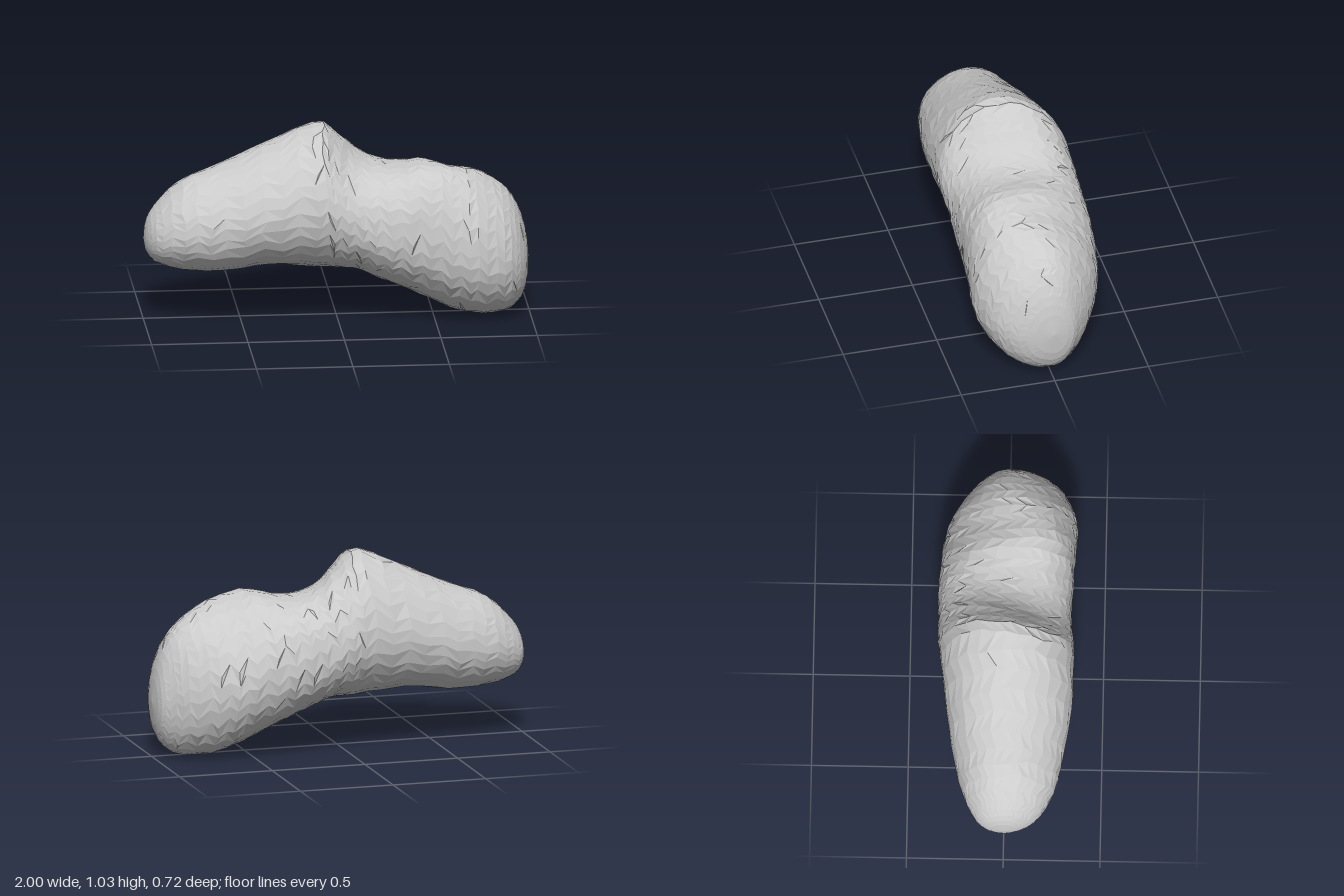
import * as THREE from 'three';

// Outline along the body: [x, top, bottom, front z, back z]
const OUTLINE = [
  [-1.00, 0.43, 0.43, 0.00, 0.00],
  [-0.985, 0.53, 0.36, 0.09, 0.09],
  [-0.93, 0.62, 0.305, 0.18, 0.155],
  [-0.80, 0.74, 0.27, 0.26, 0.22],
  [-0.60, 0.82, 0.26, 0.31, 0.27],
  [-0.35, 0.93, 0.29, 0.345, 0.31],
  [-0.10, 1.03, 0.27, 0.35, 0.345],
  [0.00, 0.96, 0.265, 0.345, 0.355],
  [0.10, 0.86, 0.255, 0.335, 0.36],
  [0.20, 0.81, 0.21, 0.335, 0.36],
  [0.32, 0.805, 0.16, 0.34, 0.36],
  [0.46, 0.83, 0.095, 0.345, 0.35],
  [0.60, 0.80, 0.03, 0.355, 0.335],
  [0.72, 0.77, 0.002, 0.355, 0.30],
  [0.85, 0.69, 0.006, 0.305, 0.225],
  [0.93, 0.59, 0.045, 0.235, 0.155],
  [0.98, 0.45, 0.13, 0.135, 0.10],
  [1.00, 0.29, 0.29, 0.00, 0.00],
];
const RINGS = 46;
const SIDES = 32;

const smoothCurve = (points) => new THREE.CatmullRomCurve3(points, false, 'catmullrom', 0.5);
const heightCurve = smoothCurve(OUTLINE.map(([x, top, bottom]) => new THREE.Vector3(x, top, bottom)));
const widthCurve = smoothCurve(OUTLINE.map(([x, , , front, back]) => new THREE.Vector3(x, front, back)));

const bump = (x, centre, width) => Math.exp(-(((x - centre) / width) ** 2));

function seeded(seed) {
  return () => {
    seed = (seed * 16807) % 2147483647;
    return seed / 2147483647 - 0.5;
  };
}

// Point on a cross-section: four superellipse quadrants around a shifted ridge
function surfacePoint(t, angle, scale) {
  const { x, y: top, z: bottom } = heightCurve.getPoint(t);
  const { y: front, z: back } = widthCurve.getPoint(t);
  const c = Math.cos(angle), n = Math.sin(angle);
  const upper = n > 0;
  const mid = THREE.MathUtils.lerp(bottom, top, 0.47);

  // The large lobe has a flatter top and a ridge towards the front
  const ridge = upper ? 0.11 * bump(x, 0.56, 0.2) : 0;
  const fullness = c > 0 ? 0.65 * bump(x, 0.36, 0.25) : 0.65 * bump(x, 0.24, 0.18);
  const power = 2 / (upper ? 1.87 + fullness : 2);

  const z = ridge + ((c > 0 ? front : -back) - ridge) * Math.abs(c) ** power;
  const y = mid + ((upper ? top : bottom) - mid) * Math.abs(n) ** power * scale;
  // The saddle beside the peak runs diagonally across the body
  const skew = -0.25 * z * Math.max(0, n) * bump(x, 0.1, 0.2);
  return [x + skew, Math.max(0, y), z * scale];
}

function createRockGeometry() {
  const random = seeded(4321);
  const positions = [], indices = [];

  // Rings of slightly irregular points, staggered from one ring to the next
  positions.push(...surfacePoint(0, 0, 1));
  for (let i = 1; i < RINGS; i++) {
    const wobble = i > 3 && i < RINGS - 3 ? 0.4 : 0.08;
    for (let j = 0; j < SIDES; j++) {
      const t = (i + random() * wobble) / RINGS;
      const angle = (j + (i % 2) * 0.5 + random() * wobble) / SIDES * Math.PI * 2;
      positions.push(...surfacePoint(t, angle, 1 + random() * 0.016));
    }
  }
  positions.push(...surfacePoint(1, 0, 1));

  // Triangles between rings, with a fan closing each end
  const id = (i, j) => 1 + (i - 1) * SIDES + (j % SIDES);
  const end = positions.length / 3 - 1;
  for (let j = 0; j < SIDES; j++) {
    indices.push(0, id(1, j), id(1, j + 1));
    indices.push(end, id(RINGS - 1, j + 1), id(RINGS - 1, j));
    for (let i = 1; i < RINGS - 1; i++) {
      const a = id(i, j), b = id(i + 1, j), c = id(i + 1, j + 1), d = id(i, j + 1);
      if (i % 2) indices.push(a, b, d, b, c, d);
      else indices.push(a, b, c, a, c, d);
    }
  }

  const geometry = new THREE.BufferGeometry();
  geometry.setAttribute('position', new THREE.Float32BufferAttribute(positions, 3));
  geometry.setIndex(indices);
  geometry.computeVertexNormals();
  return geometry;
}

export function createModel() {
  const model = new THREE.Group();
  model.name = 'asteroid';
  const material = new THREE.MeshStandardMaterial({ color: 0xcccccc, flatShading: true });
  const rock = new THREE.Mesh(createRockGeometry(), material);
  rock.name = 'rockBody';
  model.add(rock);
  return model;
}
